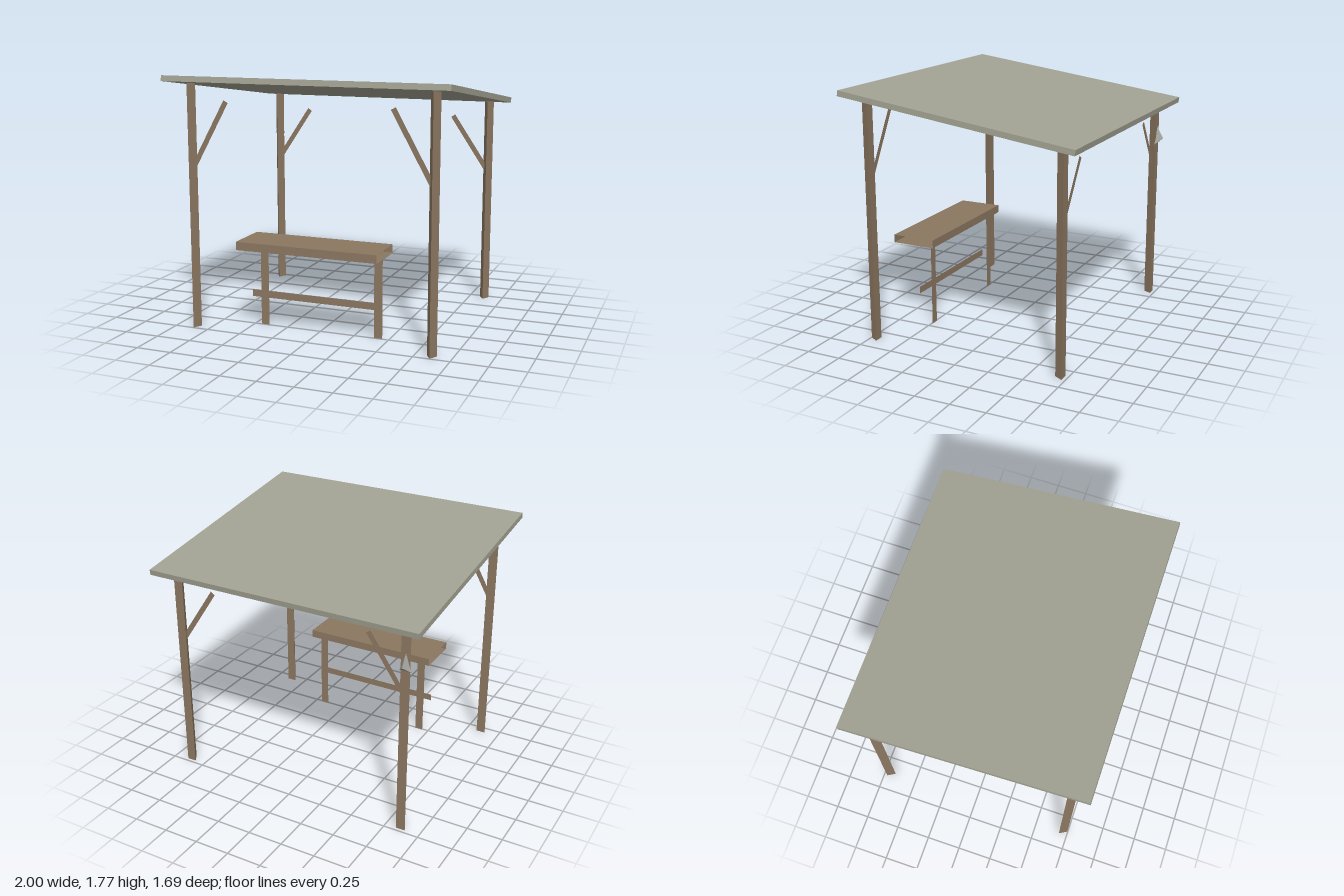
import * as THREE from 'three';

export function createModel() {
  const model = new THREE.Group();
  model.name = 'picnicShelter';

  const mat = (name, color, side = THREE.DoubleSide) => {
    const m = new THREE.MeshStandardMaterial({ color, side, flatShading: true });
    m.name = name;
    return m;
  };
  const wood = mat('weathered wood', 0x8b7760);
  const roofing = mat('roof grey', 0xa2a293);
  const metal = mat('lamp grey', 0xa4a49e);

  const add = (name, geometry, material, x, y, z, parent = model) => {
    const mesh = new THREE.Mesh(geometry, material);
    mesh.name = name;
    mesh.position.set(x, y, z);
    parent.add(mesh);
    return mesh;
  };

  // Sloping roof slab, high at the front
  const roof = add('roof', new THREE.BoxGeometry(2, 0.039, 1.7), roofing, 0, 1.635, 0);
  roof.rotation.x = -0.135;

  // Flat brace board between two points in the xy plane
  const brace = (name, x0, y0, x1, y1, z) => {
    const length = Math.hypot(x1 - x0, y1 - y0);
    const board = add(name, new THREE.PlaneGeometry(0.037, length), wood, (x0 + x1) / 2, (y0 + y1) / 2, z);
    board.rotation.z = Math.atan2(y1 - y0, x1 - x0) - Math.PI / 2;
  };

  // Three-sided posts and their braces, mirrored left and right
  const rows = [
    { label: 'front', z: 0.708, height: 1.71, foot: 1.125, tip: 1.595 },
    { label: 'back', z: -0.706, height: 1.515, foot: 1.01, tip: 1.4 },
  ];
  for (const { label, z, height, foot, tip } of rows) {
    for (const side of [-1, 1]) {
      const hand = side > 0 ? 'Left' : 'Right';
      const post = new THREE.CylinderGeometry(0.0385, 0.0385, height, 3);
      add(`${label}${hand}Post`, post, wood, side * 0.862, height / 2, z);
      brace(`${label}${hand}Brace`, side * 0.852, foot, side * 0.59, tip, z);
    }
  }

  // Small pointed lamp on the back right post
  const lamp = new THREE.ConeGeometry(1, 1, 3);
  lamp.rotateX(-Math.PI / 2);
  lamp.scale(0.0485, 0.09, 0.053);
  add('wallLamp', lamp, metal, -0.862, 1.243, -0.7485);

  // Table with a hollow, open-ended top on thin board legs
  const table = new THREE.Group();
  table.name = 'table';
  model.add(table);

  const [length, thick, depth, topY, topZ] = [1.01, 0.057, 0.32, 0.655, 0.606];
  for (const side of [-1, 1]) {
    const slab = new THREE.PlaneGeometry(length, depth).rotateX(-side * Math.PI / 2);
    add(side > 0 ? 'tableTop' : 'tableUnderside', slab, wood,
      0, topY - thick / 2 + side * thick / 2, topZ, table);
    const edge = new THREE.PlaneGeometry(length, thick);
    if (side < 0) edge.rotateY(Math.PI);
    add(side > 0 ? 'tableFrontEdge' : 'tableBackEdge', edge, wood,
      0, topY - thick / 2, topZ + side * depth / 2, table);
    add(side > 0 ? 'leftTableLeg' : 'rightTableLeg', new THREE.PlaneGeometry(0.06, 0.6), wood,
      side * 0.423, 0.3, 0.494, table);
  }
  add('tableRail', new THREE.PlaneGeometry(0.956, 0.05), wood, 0, 0.251, 0.58, table);

  return model;
}
